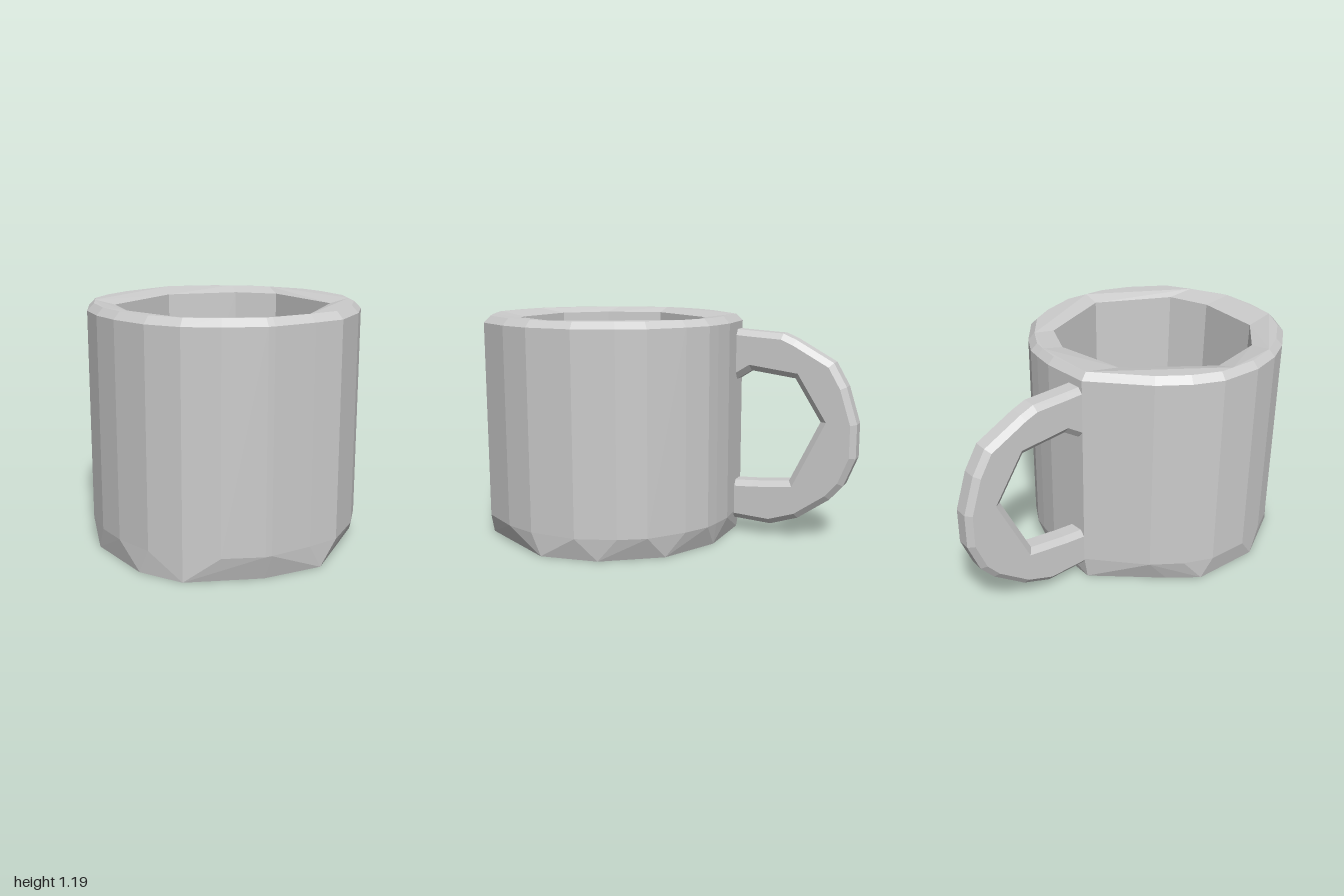
import * as THREE from 'three';
import { ConvexGeometry } from 'three/addons/geometries/ConvexGeometry.js';

const CENTER_Z = 0.33;
const FLOOR_Y = 0.12;
const V = (x, y, z) => new THREE.Vector3(x, y, z);
// Point of a plan outline, scaled about the cup's axis
const ringPoint = ([x, z], y, s = 1) => V(x * s, y, CENTER_Z + (z - CENTER_Z) * s);

// Wall blocks in plan [x, z]: inner corner where each starts, then its outer points
const SECTORS = [
  { inner: [-0.25, -0.12], outer: [[-0.25, -0.34], [0, -0.36]] },
  { inner: [0.12, -0.19], outer: [[0.12, -0.345], [0.2, -0.33]] },
  { inner: [0.33, -0.1], outer: [[0.33, -0.26], [0.5, -0.13], [0.58, 0], [0.655, 0.2]] },
  { inner: [0.53, 0.33], outer: [[0.655, 0.33], [0.655, 0.45], [0.6, 0.62], [0.48, 0.82]] },
  { inner: [0.34, 0.73], outer: [[0.34, 0.9], [0.15, 0.99]] },
  { inner: [0.12, 0.81], outer: [[0.12, 1], [-0.08, 1]] },
  { inner: [-0.25, 0.78], outer: [[-0.25, 0.97], [-0.4, 0.88], [-0.53, 0.73]] },
  { inner: [-0.45, 0.59], outer: [[-0.61, 0.59], [-0.66, 0.42]] },
  { inner: [-0.53, 0.28], outer: [[-0.66, 0.28], [-0.66, 0.2], [-0.6, 0.05], [-0.5, -0.1]] },
];

// Coarser outline of the foot
const FOOT = [[-0.25, 0.97], [0.12, 0.96], [0.4, 0.86], [0.65, 0.4], [0.6, 0.1], [0.4, -0.18],
  [0.1, -0.32], [-0.25, -0.32], [-0.52, 0], [-0.63, 0.15], [-0.63, 0.52], [-0.44, 0.84]];

// Handle outline in [distance behind the origin, height]
const HANDLE = [[0.27, 1.12], [0.42, 1.11], [0.6, 1.1], [0.67, 1.07], [0.87, 0.96], [0.94, 0.84],
  [1, 0.65], [1, 0.47], [0.94, 0.32], [0.87, 0.24], [0.7, 0.12], [0.55, 0.07], [0.27, 0.085],
  [0.27, 0.29], [0.45, 0.3], [0.65, 0.32], [0.81, 0.65], [0.67, 0.87], [0.43, 0.9], [0.35, 0.85], [0.27, 0.85]];

export function createModel() {
  const group = new THREE.Group();
  const material = new THREE.MeshStandardMaterial({ color: 0xcccccc, flatShading: true });
  const add = (name, geometry) => {
    const mesh = new THREE.Mesh(geometry, material);
    mesh.name = name;
    group.add(mesh);
    return mesh;
  };

  // Base slab, chamfered down to the foot
  const rim = SECTORS.flatMap((s) => s.outer);
  add('base', new ConvexGeometry([
    ...FOOT.map((p) => ringPoint(p, 0)),
    ...rim.map((p) => ringPoint(p, FLOOR_Y)),
  ]));

  // Ring of convex wall blocks with a bevelled lip
  const walls = new THREE.Group();
  walls.name = 'walls';
  SECTORS.forEach((sector, i) => {
    const next = SECTORS[(i + 1) % SECTORS.length];
    const points = [];
    for (const p of [sector.inner, next.inner]) {
      points.push(ringPoint(p, FLOOR_Y, 0.96), ringPoint(p, 1.165));
    }
    for (const p of [...sector.outer, next.outer[0]]) {
      points.push(ringPoint(p, FLOOR_Y), ringPoint(p, 1.155), ringPoint(p, 1.19, 0.95));
    }
    walls.add(add('wallBlock', new ConvexGeometry(points)));
  });
  group.add(walls);

  // Handle: thin outlined loop with bevelled edges
  const shape = new THREE.Shape(HANDLE.map(([u, y]) => new THREE.Vector2(u, y)));
  const handle = new THREE.ExtrudeGeometry(shape, {
    depth: 0.07, bevelEnabled: true, bevelThickness: 0.025, bevelSize: 0.03,
    bevelOffset: -0.03, bevelSegments: 1, steps: 1,
  });
  handle.rotateY(Math.PI / 2);
  handle.translate(-0.225, 0, 0);
  add('handle', handle);

  return group;
}
